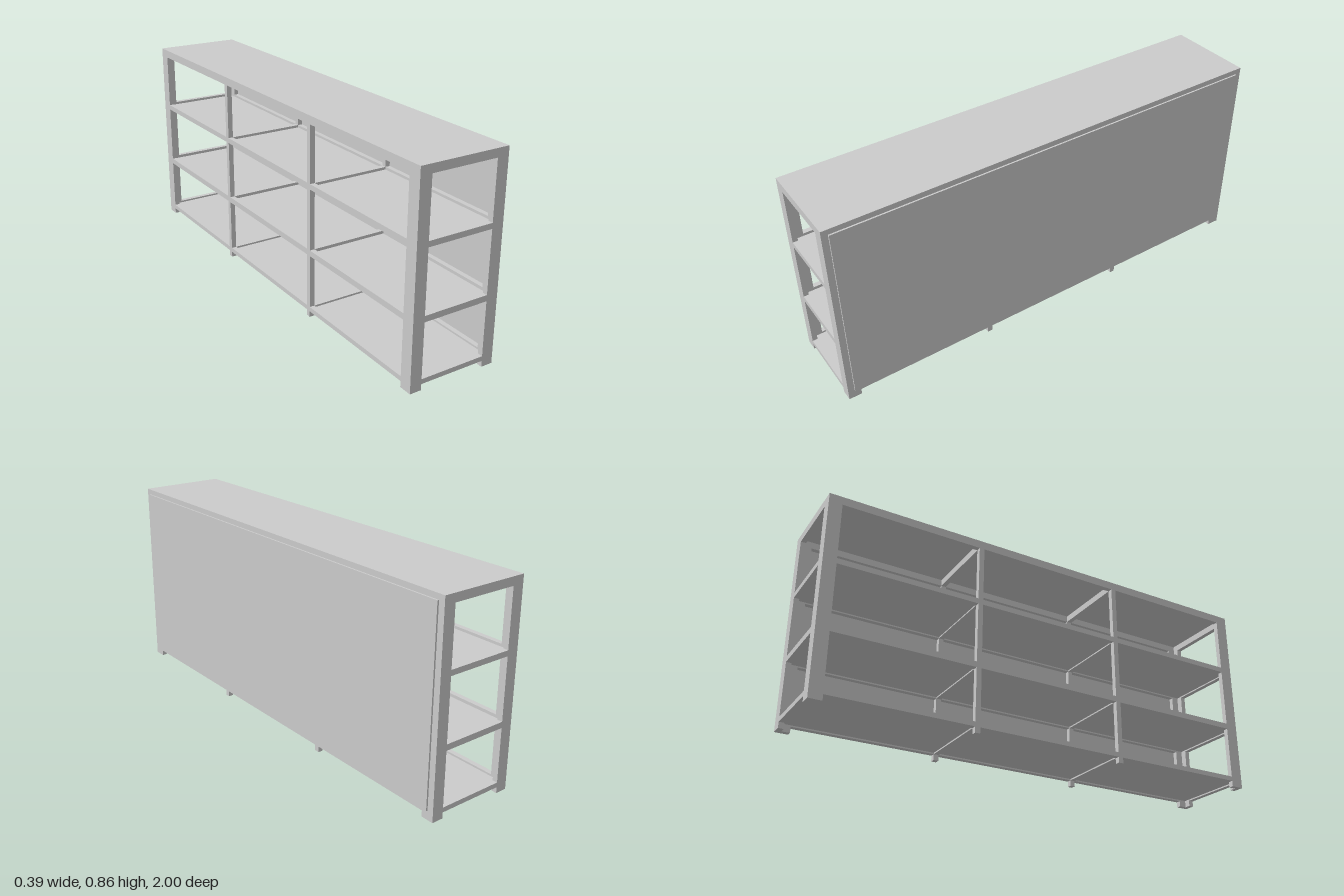
import * as THREE from 'three';

const X0 = -0.196, X1 = 0.189;      // frame faces along x
const H = 0.855, T = 0.022;         // height, bar thickness
const MID_Z = [-0.335, 0.335];      // intermediate frames

export function createModel() {
  const model = new THREE.Group();
  const material = new THREE.MeshStandardMaterial({ color: 0xcccccc });

  // Box given by its minimum and maximum corners
  function bar(name, parent, x0, x1, y0, y1, z0, z1) {
    const mesh = new THREE.Mesh(new THREE.BoxGeometry(x1 - x0, y1 - y0, z1 - z0), material);
    mesh.position.set((x0 + x1) / 2, (y0 + y1) / 2, (z0 + z1) / 2);
    mesh.name = name;
    parent.add(mesh);
  }

  // Corner posts: L-section angles
  for (const sx of [-1, 1]) {
    for (const sz of [-1, 1]) {
      const shape = new THREE.Shape([
        [0, 0], [0.05, 0], [0.05, T], [T, T], [T, 0.055], [0, 0.055],
      ].map(([a, b]) => new THREE.Vector2(sx < 0 ? X0 + a : X1 - a, sz * (b - 1))));
      // Shape y becomes -z once stood upright
      const geometry = new THREE.ExtrudeGeometry(shape, { depth: H, bevelEnabled: false });
      geometry.rotateX(-Math.PI / 2);
      const post = new THREE.Mesh(geometry, material);
      post.name = 'cornerPost';
      model.add(post);
    }
  }

  // Slim intermediate posts
  for (const z of MID_Z) {
    bar('middlePost', model, X0, X0 + T, 0, H - 0.005, z - T / 2, z + T / 2);
    bar('middlePost', model, X1 - T, X1, 0, H - 0.005, z - T / 2, z + T / 2);
  }

  // Levels: rail frame, cross bars and a board set inside it
  const levels = [
    { name: 'bottomShelf', y0: 0.025, y1: 0.045, board: 0.031 },
    { name: 'lowerShelf', y0: 0.273, y1: 0.298, board: 0.279 },
    { name: 'upperShelf', y0: 0.557, y1: 0.58, board: 0.563 },
    { name: 'top', y0: 0.82, y1: H, board: H - 0.006 },
  ];
  for (const { name, y0, y1, board } of levels) {
    const level = new THREE.Group();
    level.name = name;
    model.add(level);
    for (const x of [X0, X1 - T]) bar('longRail', level, x, x + T, y0, y1, -0.978, 0.978);
    for (const z of [-1, 1 - T]) bar('endRail', level, X0 + T, X1 - T, y0, y1, z, z + T);
    for (const z of MID_Z) {
      bar('crossBar', level, X0 + T, X1 - T, y0, Math.min(y1, H - 0.006), z - T / 2, z + T / 2);
    }
    bar('board', level, X0 + T, X1 - T, board, board + 0.006, -1 + T, 1 - T);
  }

  // Closing panel on one long side
  bar('sidePanel', model, X1 - 0.001, 0.196, 0.038, 0.832, -0.973, 0.973);

  return model;
}
